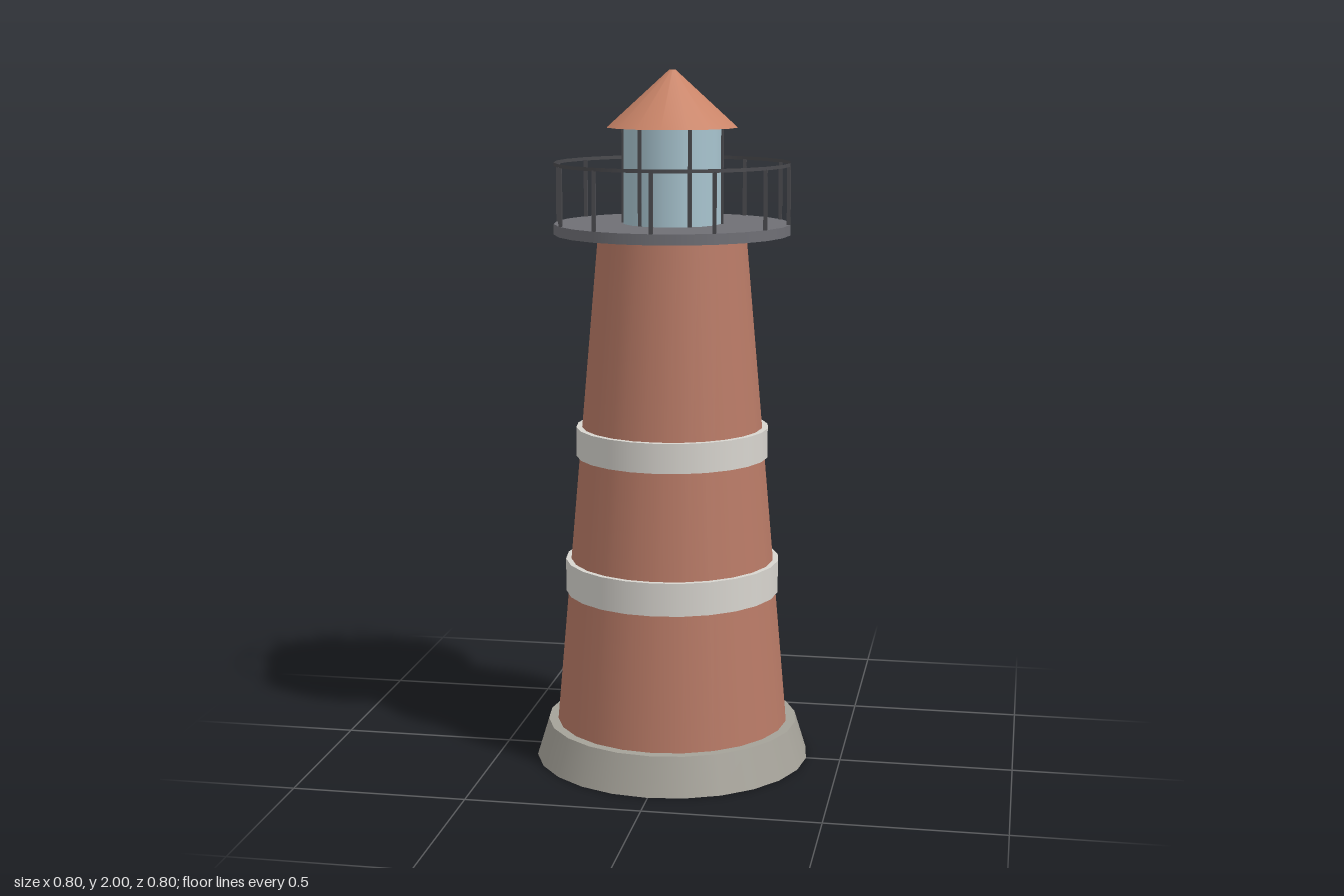
import * as THREE from 'three';

const mat = (color, side = THREE.FrontSide) => new THREE.MeshStandardMaterial({ color, side });

const BRICK = mat(0xb87a66);
const STONE = mat(0xa5a299);
const WHITE = mat(0xd8d5cf);
const DECK = mat(0x6f6f75);
const METAL = mat(0x4a4a4e, THREE.DoubleSide);
const GLASS = mat(0xa8c4cf);
const ROOF = mat(0xc98468);
const WOOD = mat(0x9a8264);

export function createModel() {
  const model = new THREE.Group();
  model.name = 'lighthouse';

  const add = (name, geometry, material, x, y, z, parent = model) => {
    const mesh = new THREE.Mesh(geometry, material);
    mesh.name = name;
    mesh.position.set(x, y, z);
    parent.add(mesh);
    return mesh;
  };

  // Round part spanning y0..y1 with a bottom and a top radius
  const drum = (name, material, rBottom, rTop, y0, y1, sides = 24, open = false, parent = model) =>
    add(name, new THREE.CylinderGeometry(rTop, rBottom, y1 - y0, sides, 1, open), material, 0, (y0 + y1) / 2, 0, parent);

  // Upright square bars spaced evenly around a circle
  const barRing = (name, count, radius, size, y0, y1, parent) => {
    const geometry = new THREE.BoxGeometry(size, y1 - y0, size);
    for (let i = 0; i < count; i++) {
      const a = (i / count) * Math.PI * 2;
      add(name, geometry, METAL, Math.cos(a) * radius, (y0 + y1) / 2, Math.sin(a) * radius, parent);
    }
  };

  // Foundation and tapered tower with two painted bands
  drum('base', STONE, 0.4, 0.366, 0, 0.11);
  drum('tower', BRICK, 0.338, 0.212, 0.11, 1.54);
  drum('lowerBand', WHITE, 0.311, 0.311, 0.5, 0.595);
  drum('upperBand', WHITE, 0.278, 0.278, 0.9, 0.985);

  // Door at the back
  add('door', new THREE.BoxGeometry(0.162, 0.34, 0.022), WOOD, 0, 0.28, -0.33);

  // Gallery with railing
  const gallery = new THREE.Group();
  gallery.name = 'gallery';
  model.add(gallery);
  drum('deck', DECK, 0.337, 0.337, 1.54, 1.57, 24, false, gallery);
  barRing('railPost', 12, 0.332, 0.01, 1.57, 1.735, gallery);
  drum('handrail', METAL, 0.336, 0.336, 1.733, 1.743, 24, true, gallery);

  // Lantern room and roof
  const lantern = new THREE.Group();
  lantern.name = 'lantern';
  model.add(lantern);
  drum('glass', GLASS, 0.141, 0.141, 1.57, 1.84, 16, false, lantern);
  barRing('mullion', 6, 0.141, 0.01, 1.57, 1.84, lantern);
  drum('roof', ROOF, 0.187, 0.009, 1.84, 2, 16, false, lantern);

  return model;
}
